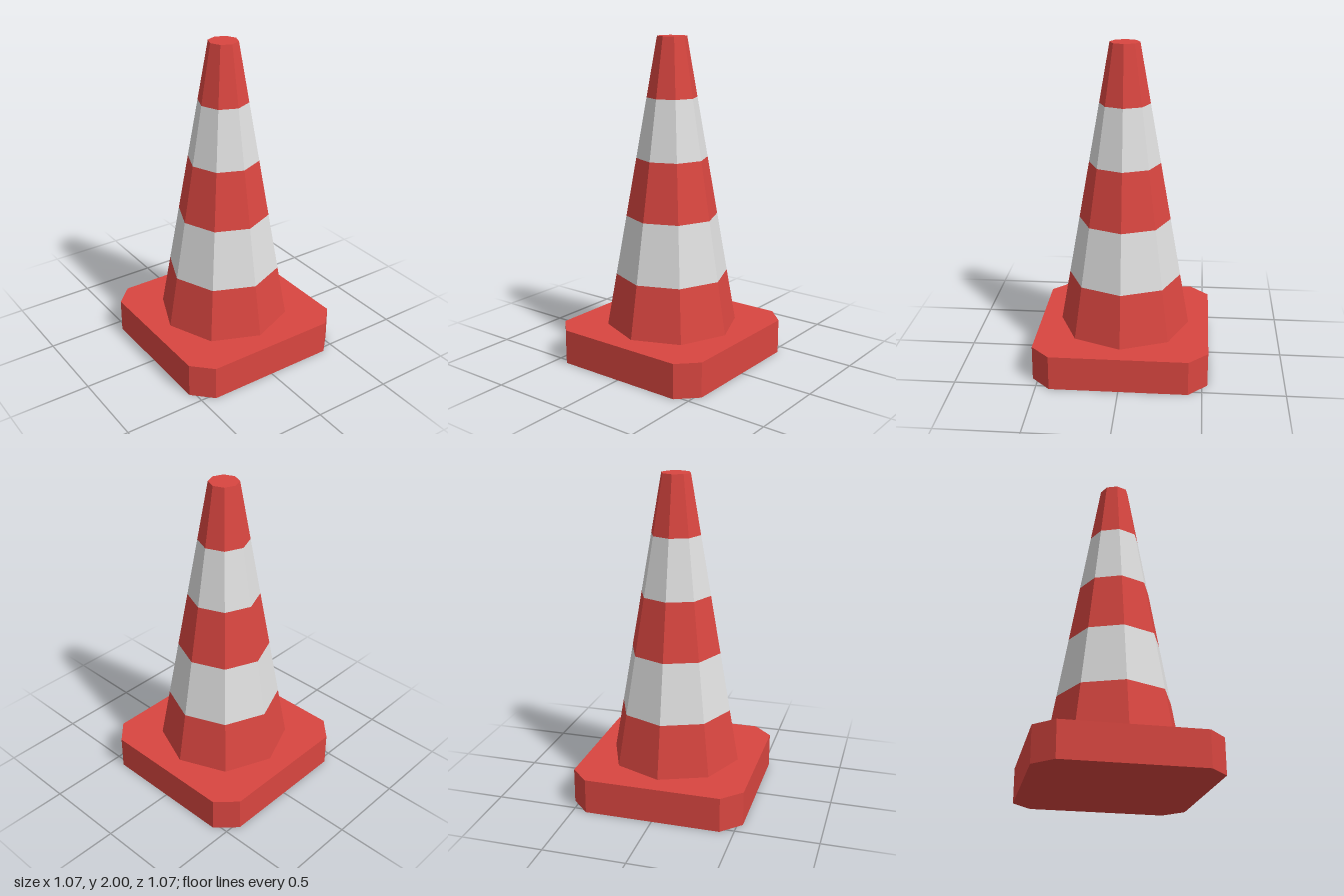
import * as THREE from 'three';

export function createModel() {
  const red = new THREE.MeshStandardMaterial({ color: 0xd94640, flatShading: true });
  red.name = 'coneRed';
  const white = new THREE.MeshStandardMaterial({ color: 0xdedede, flatShading: true });
  white.name = 'bandWhite';

  const model = new THREE.Group();
  model.name = 'trafficCone';
  const add = (name, geometry, material) => {
    const mesh = new THREE.Mesh(geometry, material);
    mesh.name = name;
    model.add(mesh);
    return mesh;
  };

  // Square foot with cut corners
  const half = 0.533, cut = 0.417, baseTop = 0.215;
  const outline = new THREE.Shape([
    [half, -cut], [half, cut], [cut, half], [-cut, half],
    [-half, cut], [-half, -cut], [-cut, -half], [cut, -half],
  ].map(([x, y]) => new THREE.Vector2(x, y)));
  const foot = new THREE.ExtrudeGeometry(outline, { depth: baseTop, bevelEnabled: false });
  foot.rotateX(-Math.PI / 2);
  add('base', foot, red);

  // Eight-sided tapering body, split into alternating bands
  const levels = [baseTop, 0.543, 0.913, 1.272, 1.638, 2];
  const radiusAt = (y) => THREE.MathUtils.mapLinear(y, baseTop, 2, 0.406, 0.09);
  for (let i = 0; i < levels.length - 1; i++) {
    const y0 = levels[i], y1 = levels[i + 1];
    const band = new THREE.CylinderGeometry(radiusAt(y1), radiusAt(y0), y1 - y0, 8, 1, true);
    band.translate(0, (y0 + y1) / 2, 0);
    const striped = i % 2 === 1;
    add((striped ? 'whiteBand' : 'redBand') + (i + 1), band, striped ? white : red);
  }

  // Flat tip
  const tip = new THREE.CircleGeometry(radiusAt(2), 8);
  tip.rotateX(-Math.PI / 2);
  tip.translate(0, 2, 0);
  add('tip', tip, red);

  return model;
}
